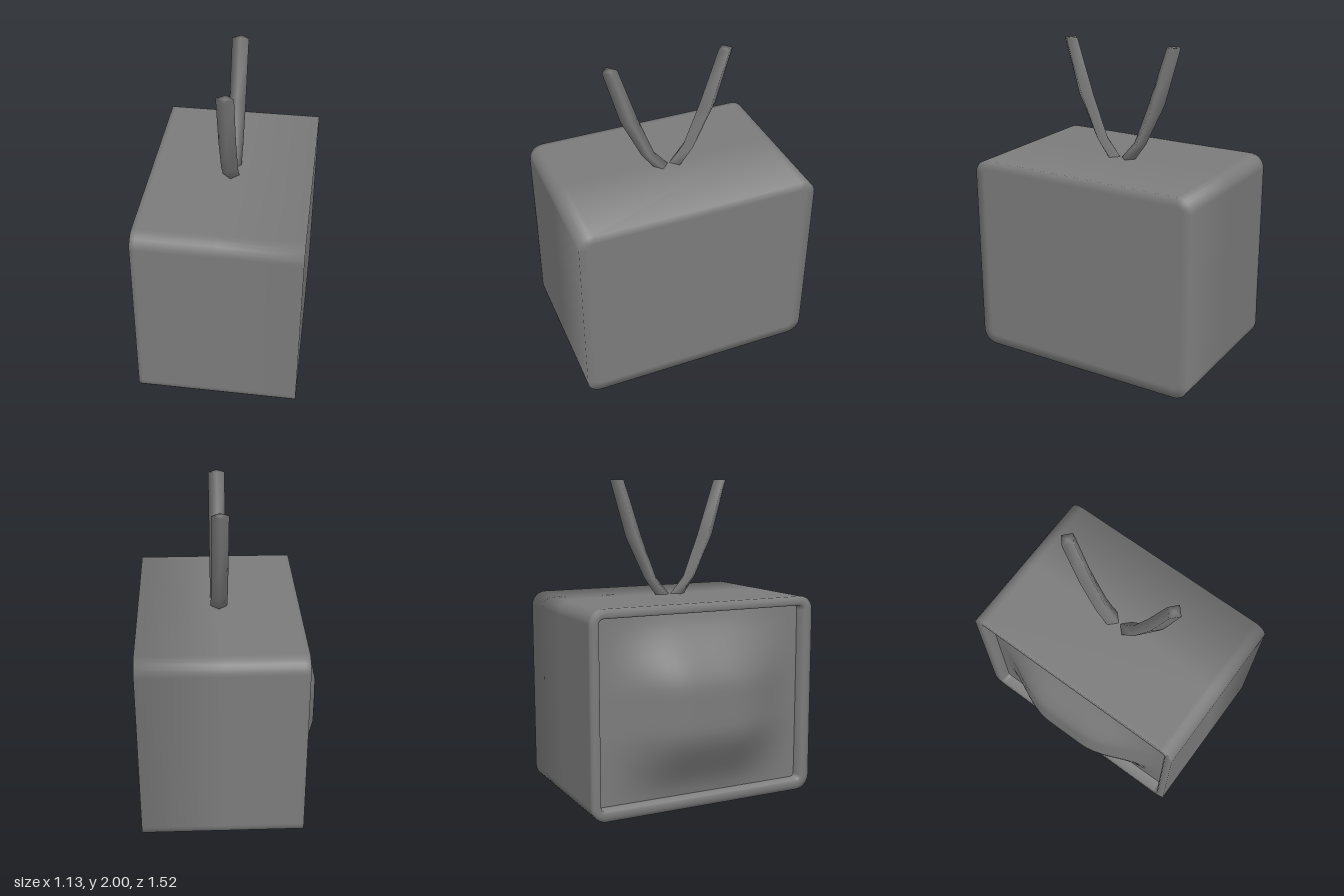
import * as THREE from 'three';
import { mergeVertices } from 'three/addons/utils/BufferGeometryUtils.js';

const HALF_Z = 0.762, HALF_Y = 0.636, CORNER = 0.09;
const FRONT_X = -0.45, SCREEN_X = -0.375, BACK_X = 0.564;
const material = new THREE.MeshStandardMaterial({ color: 0x7c7c7c });

function makeMesh(name, geometry) {
  const mesh = new THREE.Mesh(geometry, material);
  mesh.name = name;
  return mesh;
}

// Rounded shell lofted along x: recess wall, rim, sides and back in one smooth skin
function cabinetGeometry() {
  // Each ring: [x, inset from the outline, normal along x, normal away from the axis]
  const rings = [
    [SCREEN_X, 0.065, -0.3, -1],
    [FRONT_X + 0.01, 0.06, -0.7, -0.7],
    [FRONT_X, 0.05, -1, -0.2],
    [FRONT_X, 0.02, -1, 0.3],
    [FRONT_X, 0, -0.6, 0.8],
    [FRONT_X + 0.03, 0, 0, 1],
    [0.05, 0, 0, 1],
    [BACK_X, 0, 0.7, 0.7],
    [BACK_X, 0.06, 1, 0],
  ];
  const steps = 6, count = 4 * (steps + 1);
  const positions = [], normals = [], index = [];
  const normal = new THREE.Vector3();
  rings.forEach(([x, inset, nx, nr], i) => {
    for (let j = 0; j < count; j++) {
      const corner = Math.floor(j / (steps + 1));
      const angle = (corner + (j % (steps + 1)) / steps) * Math.PI / 2;
      const c = Math.cos(angle), s = Math.sin(angle);
      const sideZ = corner === 0 || corner === 3 ? 1 : -1;
      const sideY = corner < 2 ? 1 : -1;
      positions.push(
        x,
        HALF_Y + sideY * (HALF_Y - CORNER) + s * (CORNER - inset),
        sideZ * (HALF_Z - CORNER) + c * (CORNER - inset),
      );
      normal.set(nx, nr * s, nr * c).normalize();
      normals.push(normal.x, normal.y, normal.z);
      if (i < rings.length - 1) {
        const a = i * count + j, b = i * count + (j + 1) % count;
        index.push(a, a + count, b, a + count, b + count, b);
      }
    }
  });
  // Flat back panel
  const centre = rings.length * count;
  positions.push(BACK_X, HALF_Y, 0);
  normals.push(1, 0, 0);
  for (let j = 0; j < count; j++) {
    index.push(centre, centre - count + (j + 1) % count, centre - count + j);
  }
  const geometry = new THREE.BufferGeometry();
  geometry.setAttribute('position', new THREE.Float32BufferAttribute(positions, 3));
  geometry.setAttribute('normal', new THREE.Float32BufferAttribute(normals, 3));
  geometry.setIndex(index);
  return geometry;
}

// Bulging glass: nearly flat in the middle, sweeping back to the recess edges
function screenGeometry(w, h, bulge) {
  const geometry = new THREE.PlaneGeometry(w * 2, h * 2, 24, 24);
  const p = geometry.attributes.position;
  const falloff = (u) => 1 - THREE.MathUtils.smoothstep(Math.abs(u), 0.2, 1.04);
  for (let i = 0; i < p.count; i++) {
    p.setZ(i, bulge * falloff(p.getX(i) / w) * falloff(p.getY(i) / h));
  }
  geometry.rotateY(-Math.PI / 2).translate(SCREEN_X, HALF_Y, 0);
  geometry.computeVertexNormals();
  return geometry;
}

// Bent rod of diamond section; each ring is [height, centre z, half depth]
function antennaGeometry(side) {
  const rings = [[2, 0.365, 0.047], [1.645, 0.255, 0.055], [1.38, 0.14, 0.042], [1.265, 0.05, 0.05]];
  const geometry = new THREE.CylinderGeometry(1, 1, 3, 4, 3);
  const p = geometry.attributes.position;
  for (let i = 0; i < p.count; i++) {
    const [y, z, depth] = rings[Math.round(1.5 - p.getY(i))];
    p.setXYZ(i, 0.055 + p.getX(i) * 0.052, y, side * z + p.getZ(i) * depth);
  }
  geometry.deleteAttribute('uv');
  geometry.deleteAttribute('normal');
  const merged = mergeVertices(geometry);
  merged.computeVertexNormals();
  return merged;
}

export function createModel() {
  const model = new THREE.Group();
  model.name = 'television';
  model.add(makeMesh('cabinet', cabinetGeometry()));
  model.add(makeMesh('screen', screenGeometry(0.7, 0.574, 0.19)));
  // Pair of antennas spreading from the top
  model.add(makeMesh('leftAntenna', antennaGeometry(1)));
  model.add(makeMesh('rightAntenna', antennaGeometry(-1)));
  return model;
}
